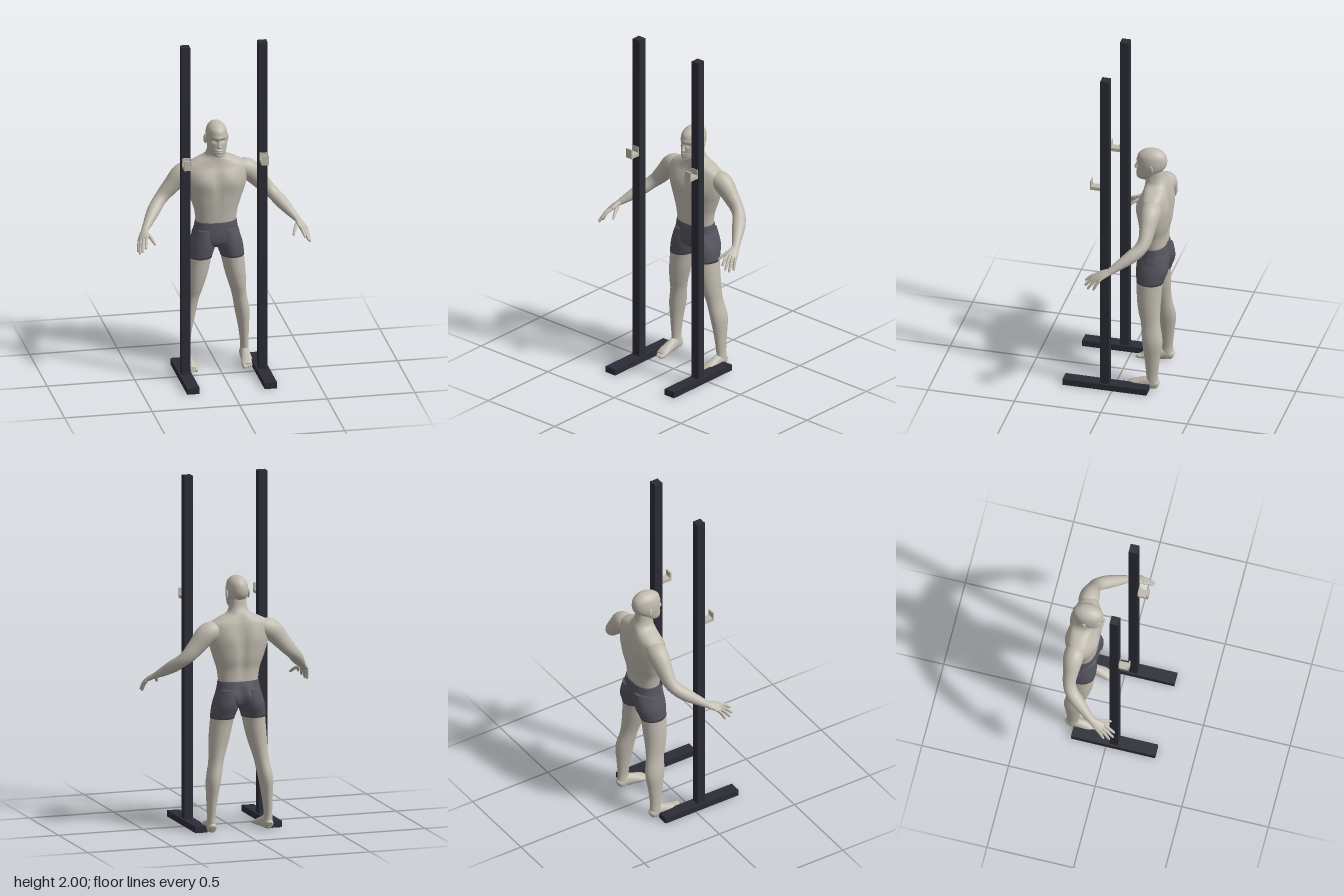
import * as THREE from 'three';

const mat = (name, color) => Object.assign(new THREE.MeshStandardMaterial({ color }), { name });
const bump = (d, w) => Math.exp(-(d * d) / (w * w));

// Smooth skin through rings [x, y, z, radiusU, radiusV]; ends are capped.
function loft(rings, { ref = [0, 0, 1], flat = false, power = 2, n = 28, steps = 6, from = 0, to = rings.length - 1, warp } = {}) {
  const at = (t) => {
    const i = Math.min(Math.floor(t), rings.length - 2), f = t - i;
    const r = (k) => rings[Math.max(0, Math.min(rings.length - 1, k))];
    return [0, 1, 2, 3, 4].map((k) => {
      const a = r(i - 1)[k], b = r(i)[k], c = r(i + 1)[k], d = r(i + 2)[k];
      return b + 0.5 * f * (c - a + f * (2 * a - 5 * b + 4 * c - d + f * (3 * (b - c) + d - a)));
    });
  };
  const up = new THREE.Vector3(...ref), pos = [], index = [];
  const rows = Math.round((to - from) * steps);
  const last = rings.length - 1;
  const put = (p) => { if (warp) warp(p); pos.push(p.x, p.y, p.z); };
  for (let i = 0; i <= rows; i++) {
    const t = from + (to - from) * i / rows, s = at(t);
    const c = new THREE.Vector3(s[0], s[1], s[2]);
    const dir = flat ? new THREE.Vector3(0, -1, 0)
      : new THREE.Vector3(...at(Math.min(last, t + 0.05))).sub(new THREE.Vector3(...at(Math.max(0, t - 0.05)))).normalize();
    const u = up.clone().cross(dir).normalize(), v = dir.clone().cross(u);
    const sp = (q) => Math.sign(q) * Math.pow(Math.abs(q), 2 / power);
    for (let j = 0; j < n; j++) {
      const a = j / n * Math.PI * 2;
      put(c.clone().addScaledVector(u, sp(Math.cos(a)) * s[3]).addScaledVector(v, sp(Math.sin(a)) * s[4]));
      if (i < rows) {
        const k = i * n + j, m = i * n + (j + 1) % n;
        index.push(k, m, k + n, m, m + n, k + n);
      }
    }
  }
  const top = pos.length / 3;
  for (const t of [from, to]) put(new THREE.Vector3(...at(t).slice(0, 3)));
  for (let j = 0; j < n; j++) {
    const k = (j + 1) % n;
    index.push(top, k, j, top + 1, rows * n + j, rows * n + k);
  }
  const g = new THREE.BufferGeometry();
  g.setAttribute('position', new THREE.Float32BufferAttribute(pos, 3));
  g.setIndex(index);
  g.computeVertexNormals();
  return g;
}

function mirrored(g) {
  const m = g.clone().scale(-1, 1, 1), a = m.index.array;
  for (let i = 0; i < a.length; i += 3) [a[i], a[i + 1]] = [a[i + 1], a[i]];
  return m;
}

export function createModel() {
  const group = new THREE.Group();
  const skin = mat('skin', 0xc1bcb0), cloth = mat('shorts cloth', 0x56555f);
  const steel = mat('dark steel', 0x2c2c37), pad = mat('hook plate', 0xc1bcb0);
  const add = (name, g, m) => {
    const mesh = new THREE.Mesh(g, m);
    mesh.name = name;
    group.add(mesh);
  };
  const pair = (name, g, m) => { add(name + 'Left', g, m); add(name + 'Right', mirrored(g), m); };
  const box = (x, y, z, w, h, d) => new THREE.BoxGeometry(w, h, d).translate(x, y, z);

  // Rack: floor bars, uprights and bar hooks
  pair('baseBar', box(0.221, 0.02, 0.042, 0.071, 0.036, 0.486), steel);
  pair('upright', box(0.221, 1.015, 0.044, 0.05, 1.97, 0.05), steel);
  pair('hookShelf', box(0.221, 1.295, 0.098, 0.043, 0.02, 0.064), pad);
  pair('hookLip', box(0.221, 1.318, 0.126, 0.043, 0.046, 0.008), pad);
  pair('hookBack', box(0.221, 1.312, 0.07, 0.043, 0.056, 0.004), pad);

  // Torso with chest, shoulder blades and spine groove
  add('torso', loft([
    [0, 1.33, -0.18, 0.046, 0.048], [0, 1.285, -0.183, 0.05, 0.053], [0, 1.25, -0.192, 0.066, 0.06],
    [0, 1.222, -0.195, 0.125, 0.066], [0, 1.193, -0.195, 0.172, 0.073], [0, 1.15, -0.19, 0.182, 0.083],
    [0, 1.08, -0.187, 0.172, 0.091], [0, 1.0, -0.188, 0.147, 0.088], [0, 0.93, -0.184, 0.124, 0.078],
    [0, 0.86, -0.185, 0.114, 0.074], [0, 0.83, -0.185, 0.112, 0.072]], {
    flat: true, power: 2.25, n: 56, warp: (p) => {
      const x = Math.abs(p.x);
      if (p.z > -0.16) {
        p.z += 0.012 * bump(x - 0.075, 0.05) * bump(p.y - 1.115, 0.05);
        p.z -= 0.008 * bump(x, 0.013) * bump(p.y - 1.08, 0.12);
      } else if (p.z < -0.21) {
        p.z -= 0.01 * bump(x - 0.08, 0.05) * bump(p.y - 1.12, 0.07);
        p.z += 0.016 * bump(x, 0.022) * bump(p.y - 1.04, 0.15);
      }
    } }), skin);

  // Head with eye sockets, lips and chin
  add('head', loft([
    [0, 1.455, -0.17, 0.008, 0.012], [0, 1.447, -0.17, 0.031, 0.045], [0, 1.422, -0.168, 0.052, 0.077],
    [0, 1.385, -0.168, 0.06, 0.086], [0, 1.35, -0.165, 0.06, 0.082], [0, 1.32, -0.153, 0.055, 0.07],
    [0, 1.293, -0.14, 0.048, 0.058], [0, 1.272, -0.127, 0.034, 0.042], [0, 1.264, -0.125, 0.016, 0.02]], {
    flat: true, n: 64, steps: 10, warp: (p) => {
      if (p.z < -0.14) return;
      p.z -= 0.012 * bump(Math.abs(p.x) - 0.023, 0.014) * bump(p.y - 1.363, 0.01);
      p.z += 0.004 * bump(p.x, 0.04) * bump(p.y - 1.382, 0.01);
      p.z += 0.006 * bump(p.x, 0.02) * (bump(p.y - 1.307, 0.005) + bump(p.y - 1.295, 0.005));
      p.z += 0.005 * bump(p.x, 0.02) * bump(p.y - 1.274, 0.009);
    } }), skin);
  add('nose', loft([[0, 1.37, -0.09, 0.005, 0.006], [0, 1.345, -0.083, 0.008, 0.012],
    [0, 1.329, -0.08, 0.014, 0.014], [0, 1.321, -0.085, 0.009, 0.008]], { flat: true, n: 16 }), skin);
  pair('ear', new THREE.SphereGeometry(1, 16, 12).scale(0.007, 0.027, 0.015).rotateY(-0.3).translate(0.063, 1.352, -0.176), skin);

  // Arms
  const handUp = [0.5, 0.85, 0.24];
  pair('arm', loft([
    [0.11, 1.165, -0.2, 0.04, 0.035], [0.15, 1.155, -0.203, 0.055, 0.055], [0.195, 1.135, -0.205, 0.056, 0.06],
    [0.25, 1.075, -0.204, 0.044, 0.05], [0.295, 1.025, -0.2, 0.037, 0.042], [0.33, 0.99, -0.18, 0.037, 0.036],
    [0.365, 0.955, -0.138, 0.037, 0.036], [0.405, 0.915, -0.08, 0.028, 0.027], [0.436, 0.885, -0.033, 0.021, 0.017],
    [0.442, 0.878, -0.02, 0.021, 0.015]], { ref: handUp }), skin);

  // Hands: palm, four fingers and thumb
  pair('palm', loft([[0.434, 0.887, -0.037, 0.02, 0.015], [0.444, 0.876, -0.012, 0.027, 0.015],
    [0.453, 0.862, 0.016, 0.033, 0.013], [0.459, 0.853, 0.034, 0.029, 0.009]], { ref: handUp }), skin);
  const digits = [
    ['indexFinger', [0.439, 0.863, 0.036], [0.455, 0.822, 0.101]],
    ['middleFinger', [0.453, 0.859, 0.03], [0.475, 0.8, 0.099]],
    ['ringFinger', [0.465, 0.855, 0.022], [0.487, 0.786, 0.08]],
    ['littleFinger', [0.474, 0.85, 0.01], [0.49, 0.786, 0.046]],
    ['thumb', [0.428, 0.87, -0.008], [0.394, 0.828, 0.068]]];
  for (const [name, a, b] of digits) {
    const ring = (t, r) => [...a.map((v, k) => v + (b[k] - v) * t + (k === 1 ? 0.03 * t * (1 - t) : 0)), r, r];
    pair(name, loft([ring(0, 0.01), ring(0.45, 0.0092), ring(0.9, 0.0072), ring(1, 0.003)], { ref: handUp, n: 12, steps: 4 }), skin);
  }

  // Shorts: seat with two short legs
  add('shortsSeat', loft([
    [0, 0.864, -0.185, 0.117, 0.077], [0, 0.82, -0.188, 0.124, 0.085], [0, 0.77, -0.192, 0.136, 0.091],
    [0, 0.73, -0.19, 0.115, 0.078], [0, 0.705, -0.188, 0.03, 0.04]], {
    flat: true, power: 2.3, n: 48, warp: (p) => {
      if (p.z < -0.22) p.z += 0.022 * bump(p.x, 0.016) * bump(p.y - 0.76, 0.06);
    } }), cloth);
  const leg = [
    [0.06, 0.82, -0.19, 0.058, 0.082], [0.075, 0.73, -0.189, 0.073, 0.09], [0.092, 0.65, -0.179, 0.066, 0.075],
    [0.108, 0.55, -0.178, 0.059, 0.069], [0.122, 0.47, -0.183, 0.049, 0.062], [0.135, 0.4, -0.194, 0.041, 0.055],
    [0.154, 0.3, -0.208, 0.041, 0.058], [0.163, 0.2, -0.21, 0.031, 0.045], [0.168, 0.1, -0.211, 0.023, 0.034],
    [0.168, 0.05, -0.213, 0.025, 0.034], [0.167, 0.015, -0.213, 0.024, 0.03]];
  pair('shortsLeg', loft(leg.map((r) => [r[0], r[1], r[2], r[3] + 0.002, r[4] + 0.002]), { flat: true, to: 2 }), cloth);
  pair('leg', loft(leg, { flat: true, from: 1.8 }), skin);

  // Feet and toes, flattened at the floor
  const floor = (p) => { p.y = Math.max(p.y, 0.004); };
  pair('foot', loft([
    [0.168, 0.03, -0.249, 0.01, 0.012], [0.168, 0.034, -0.237, 0.024, 0.028], [0.167, 0.038, -0.19, 0.027, 0.038],
    [0.165, 0.03, -0.14, 0.031, 0.03], [0.162, 0.02, -0.09, 0.036, 0.02], [0.161, 0.014, -0.068, 0.031, 0.012]],
  { ref: [0, 1, 0], warp: floor }), skin);
  for (let i = 0; i < 5; i++) {
    const x = 0.138 + i * 0.0125, r = i ? 0.0075 : 0.011, z = -0.038 - i * i * 0.0018;
    pair('toe' + (i + 1), loft([[x, 0.015, -0.09, r, r], [x, 0.013, z - 0.012, r, r], [x, 0.011, z, r * 0.4, r * 0.4]],
      { ref: [0, 1, 0], n: 12, warp: floor }), skin);
  }
  return group;
}
